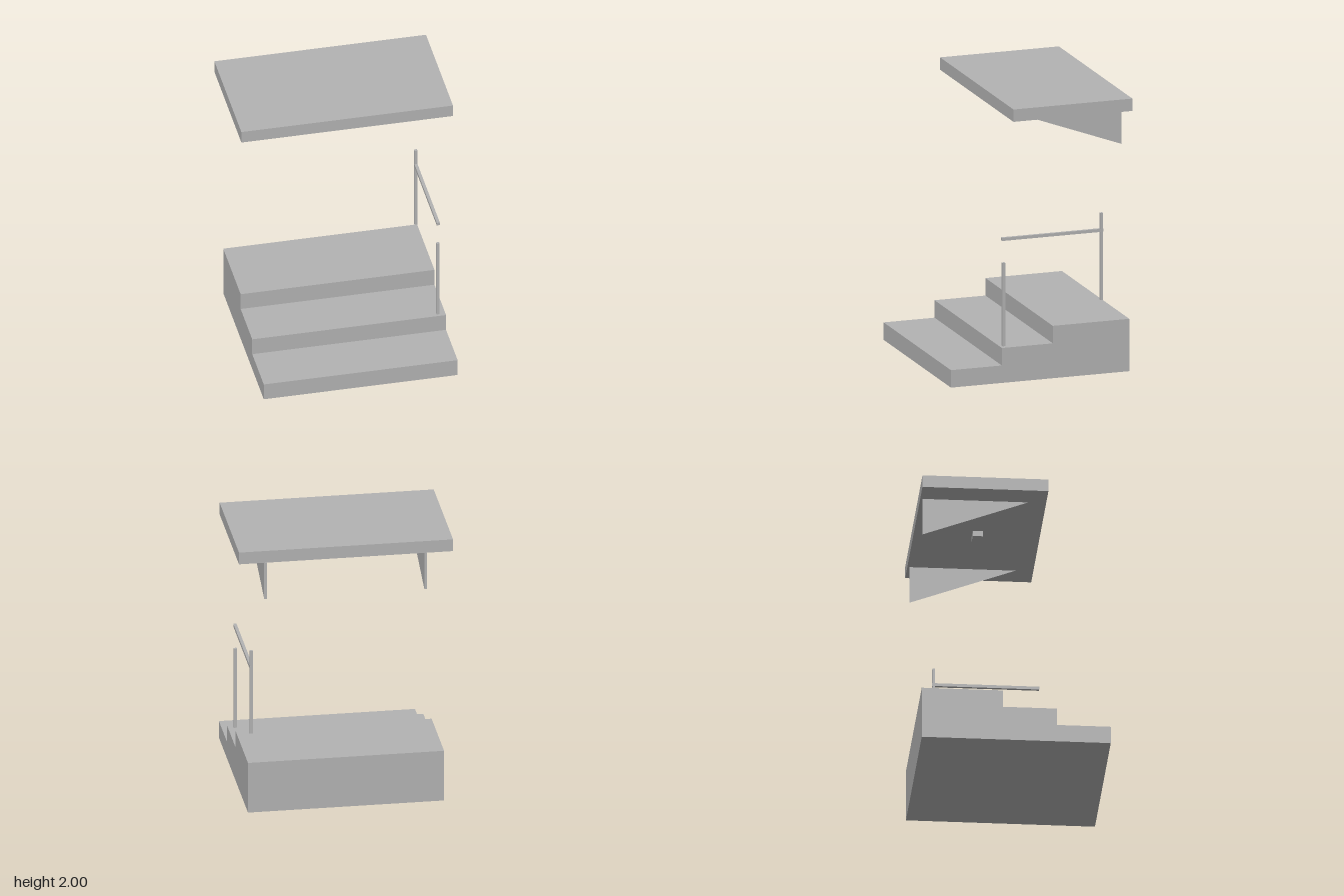
import * as THREE from 'three';

export function createModel() {
  const model = new THREE.Group();
  model.name = 'entranceSteps';

  const grey = new THREE.MeshStandardMaterial({ color: 0xb2b2b2 });
  grey.name = 'plain grey';

  const add = (name, geometry) => {
    const mesh = new THREE.Mesh(geometry, grey);
    mesh.name = name;
    model.add(mesh);
    return mesh;
  };

  // Box given by its minimum and maximum corners
  const box = (name, [x0, y0, z0], [x1, y1, z1]) =>
    add(name, new THREE.BoxGeometry(x1 - x0, y1 - y0, z1 - z0))
      .position.set((x0 + x1) / 2, (y0 + y1) / 2, (z0 + z1) / 2);

  // Three solid steps: stepped side profile extruded across the width
  const halfWidth = 0.698;
  const profile = new THREE.Shape([
    [0.667, 0], [0.667, 0.127], [0.286, 0.127], [0.286, 0.254],
    [-0.095, 0.254], [-0.095, 0.381], [-0.667, 0.381], [-0.667, 0],
  ].map(([z, y]) => new THREE.Vector2(-z, y)));
  const steps = new THREE.ExtrudeGeometry(profile, { depth: halfWidth * 2, bevelEnabled: false });
  steps.translate(0, 0, -halfWidth).rotateY(Math.PI / 2);
  add('steps', steps);

  // Canopy slab with a small lamp below
  box('canopy', [-0.762, 1.91, -0.667], [0.762, 2, 0.222]);
  box('canopyLamp', [-0.061, 1.87, -0.256], [0.061, 1.91, -0.184]);

  // Bracket: thin triangular plate, open along its sloping edge
  const bracket = (name, x0, x1) => {
    const top = 1.902, low = 1.626, back = -0.652, tip = 0.095;
    const corners = [];
    for (const x of [x0, x1]) corners.push(x, top, back, x, low, back, x, top, tip);
    const geometry = new THREE.BufferGeometry();
    geometry.setAttribute('position', new THREE.Float32BufferAttribute(corners, 3));
    geometry.setIndex([
      0, 1, 2, 3, 5, 4, // sides
      0, 3, 4, 0, 4, 1, // back edge
      0, 2, 5, 0, 5, 3, // top edge
    ]);
    const flat = geometry.toNonIndexed();
    flat.computeVertexNormals();
    add(name, flat);
  };
  bracket('leftBracket', 0.56, 0.58);
  bracket('rightBracket', -0.58, -0.56);

  // Handrail and its two posts on the left side
  box('frontPost', [0.635, 0.254, 0.246], [0.657, 0.86, 0.265]);
  box('backPost', [0.635, 0.525, -0.485], [0.657, 1.158, -0.466]);
  box('handrail', [0.635, 1.021, -0.487], [0.657, 1.043, 0.269]);

  return model;
}
